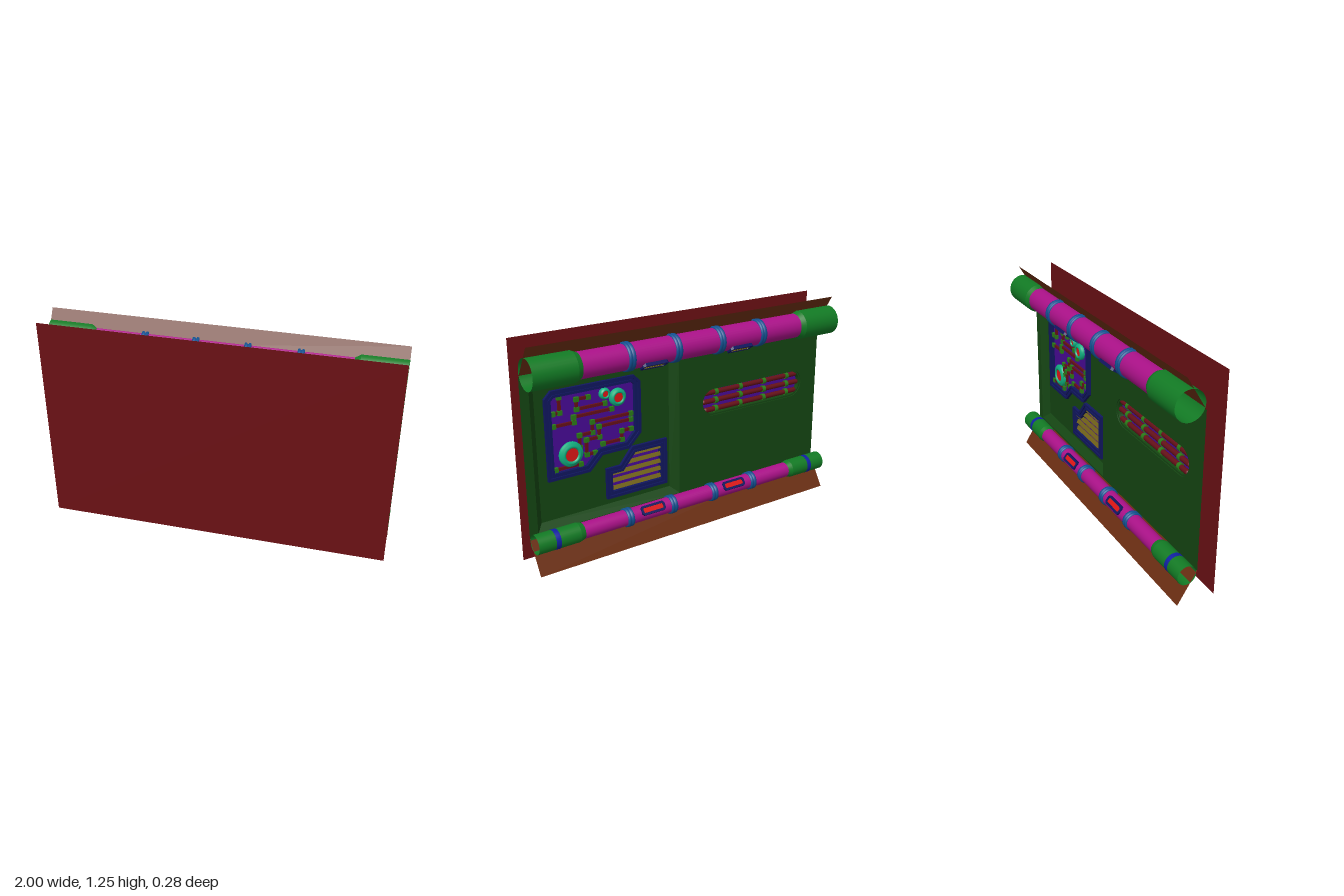
import * as THREE from 'three';

const mat = (color) => new THREE.MeshStandardMaterial({ color, side: THREE.DoubleSide });
const M = {
  back: mat(0x6a1014), flange: mat(0x6b2e12), wall: mat(0x144512), cap: mat(0x127a24),
  pipe: mat(0xaa1188), ring: mat(0x105090), frame: mat(0x10165f), band: mat(0x1020a0),
  purple: mat(0x480a95), trace: mat(0x651018), joint: mat(0x2a7a18), slat: mat(0x75661a),
  red: mat(0xdd1515), teal: mat(0x10b080),
};

export function createModel() {
  const model = new THREE.Group();

  const add = (name, geo, material, parent = model, x = 0, y = 0, z = 0) => {
    const m = new THREE.Mesh(geo, material);
    m.name = name;
    m.position.set(x, y, z);
    parent.add(m);
    return m;
  };
  const box = (name, w, h, d, material, parent, x, y, z) =>
    add(name, new THREE.BoxGeometry(w, h, d), material, parent, x, y, z);
  const vecs = (pts) => pts.map(([x, y]) => new THREE.Vector2(x, y));
  const rect = (x0, y0, x1, y1) => [[x0, y0], [x1, y0], [x1, y1], [x0, y1]];

  // Flat outline with holes
  const outline = (pts, holes = []) => {
    const s = new THREE.Shape(vecs(pts));
    holes.forEach((h) => s.holes.push(new THREE.Path(vecs(h))));
    return s;
  };
  const sheet = (name, pts, holes, material, z) =>
    add(name, new THREE.ShapeGeometry(outline(pts, holes)), material, model, 0, 0, z);
  const plate = (name, pts, holes, z0, z1, material, parent = model) =>
    add(name, new THREE.ExtrudeGeometry(outline(pts, holes), { depth: z1 - z0, bevelEnabled: false }),
      material, parent, 0, 0, z0);

  // Moves every edge of a counter-clockwise outline inwards by d
  const inset = (pts, d) => pts.map((p, i) => {
    const n = pts.length, a = pts[(i + n - 1) % n], b = pts[(i + 1) % n];
    const u = new THREE.Vector2(p[0] - a[0], p[1] - a[1]).normalize();
    const v = new THREE.Vector2(b[0] - p[0], b[1] - p[1]).normalize();
    const k = d / (1 + u.dot(v));
    return [p[0] - (u.y + v.y) * k, p[1] + (u.x + v.x) * k];
  });

  // Side walls between two outlines at different depths
  const loft = (name, a, za, b, zb, material) => {
    const pos = [];
    a.forEach((p, i) => {
      const j = (i + 1) % a.length;
      const A = [...p, za], B = [...a[j], za], C = [...b[j], zb], D = [...b[i], zb];
      pos.push(...A, ...B, ...C, ...A, ...C, ...D);
    });
    const g = new THREE.BufferGeometry();
    g.setAttribute('position', new THREE.Float32BufferAttribute(pos, 3));
    g.computeVertexNormals();
    return add(name, g, material);
  };

  // Backing plate and wall outlines
  sheet('backPlate', rect(-1, 0, 1, 1.25), [], M.back, 0.14);
  const opening = rect(0.04, 0.19, 0.95, 1.06);
  const floor = rect(0.085, 0.23, 0.91, 1.02);
  const board = [[0.28, 0.62], [0.36, 0.54], [0.53, 0.54], [0.61, 0.46], [0.86, 0.46],
    [0.86, 0.92], [0.82, 0.96], [0.32, 0.96], [0.28, 0.92]];
  const vent = [[0.11, 0.265], [0.51, 0.265], [0.51, 0.45], [0.42, 0.45], [0.34, 0.545], [0.11, 0.545]];
  const slot = [];
  for (let i = 0; i <= 24; i++) {
    const t = -Math.PI / 2 + (Math.PI * (i > 12 ? i - 1 : i)) / 23;
    slot.push([-0.205 + 0.085 * Math.cos(t), 0.71 + 0.085 * Math.sin(t)]);
  }
  slot.push(...slot.map(([x, y]) => [-1 - x, 1.42 - y]));

  // Wall, sloped recess and its floor
  sheet('wall', rect(-1, 0.18, 1, 1.07), [opening, slot], M.wall, 0.03);
  loft('recessSides', opening, 0.03, floor, 0.07, M.wall);
  sheet('recessFloor', floor, [inset(board, 0.02), inset(vent, 0.02)], M.wall, 0.07);

  // Flared sheets along the top and bottom
  [[1.07, 1.25, 'topFlange'], [0.18, 0, 'bottomFlange']].forEach(([y0, y1, name]) => {
    const g = new THREE.PlaneGeometry(2, 1);
    const p = g.attributes.position;
    for (let i = 0; i < 4; i++) {
      const outer = p.getY(i) > 0;
      p.setXYZ(i, p.getX(i), outer ? y1 : y0, outer ? -0.08 : 0.03);
    }
    g.computeVertexNormals();
    add(name, g, M.flange);
  });

  // Stepped frames around the circuit board and the vent
  [[board, 0.075, 'board'], [vent, 0.09, 'vent']].forEach(([pts, zb, name]) => {
    plate(name + 'FrameOuter', pts, [inset(pts, 0.016)], 0.052, zb, M.frame);
    plate(name + 'FrameStep', inset(pts, 0.016), [inset(pts, 0.024)], 0.06, zb, M.frame);
    plate(name + 'FrameInner', inset(pts, 0.024), [inset(pts, 0.038)], 0.054, zb, M.frame);
    sheet(name + 'Backing', inset(pts, 0.03), [], M.purple, zb - 0.001);
  });

  // Vent slats
  for (let i = 0; i < 5; i++) {
    const y = 0.318 + i * 0.045, x1 = y < 0.41 ? 0.475 : y < 0.46 ? 0.38 : 0.34;
    const s = box('ventSlat', x1 - 0.145, 0.024, 0.012, M.slat, model, (x1 + 0.145) / 2, y, 0.072);
    s.rotation.x = 0.4;
  }

  // Circuit traces with a joint at each bend
  [
    [[0.77, 0.915], [0.77, 0.83], [0.81, 0.83]],
    [[0.50, 0.83], [0.67, 0.83], [0.67, 0.885], [0.60, 0.885]],
    [[0.46, 0.79], [0.69, 0.79], [0.69, 0.76], [0.81, 0.76]],
    [[0.34, 0.74], [0.58, 0.74], [0.58, 0.68], [0.66, 0.68], [0.66, 0.61]],
    [[0.34, 0.705], [0.54, 0.705], [0.54, 0.645], [0.62, 0.645], [0.62, 0.56], [0.57, 0.56]],
    [[0.34, 0.65], [0.40, 0.65], [0.40, 0.60], [0.52, 0.60]],
    [[0.81, 0.515], [0.66, 0.515]],
  ].forEach((path) => path.forEach(([x, y], i) => {
    box('traceJoint', 0.026, 0.026, 0.018, M.joint, model, x, y, 0.066);
    if (!i) return;
    const [px, py] = path[i - 1];
    box('trace', Math.abs(x - px) + 0.016, Math.abs(y - py) + 0.016, 0.012, M.trace,
      model, (x + px) / 2, (y + py) / 2, 0.068);
  }));

  // Round dials on the board
  [[0.715, 0.585, 0.07], [0.42, 0.85, 0.05], [0.50, 0.885, 0.032]].forEach(([x, y, r]) => {
    const ring = [[0.55, 0.015], [0.55, 0.024], [0.7, 0.028], [0.76, 0.022], [0.88, 0.022], [1, 0.014], [1, 0]]
      .map(([k, h]) => new THREE.Vector2(k * r, h));
    add('dialRing', new THREE.LatheGeometry(ring, 32), M.teal, model, x, y, 0.074).rotation.x = -Math.PI / 2;
    add('dialCentre', new THREE.CylinderGeometry(r * 0.56, r * 0.56, 0.018, 32), M.red, model, x, y, 0.065)
      .rotation.x = Math.PI / 2;
  });

  // Rounded slot with conduits and beads
  loft('slotSides', slot, 0.03, slot, 0.066, M.wall);
  plate('slotRim', slot, [inset(slot, 0.01)], 0.036, 0.066, M.wall);
  sheet('slotBacking', slot, [], M.purple, 0.065);
  [-0.052, 0, 0.052].forEach((dy) => {
    const half = dy ? 0.355 : 0.37;
    add('conduit', new THREE.CapsuleGeometry(0.015, 2 * half - 0.03, 4, 12), M.trace, model, -0.5, 0.71 + dy, 0.05)
      .rotation.z = Math.PI / 2;
    for (let i = 0; i < 4; i++) {
      add('conduitBead', new THREE.CylinderGeometry(0.02, 0.02, 0.022, 12), M.joint, model,
        -0.23 - i * 0.18, 0.71 + dy, 0.05).rotation.z = Math.PI / 2;
    }
  });

  // Turned part along x, from [radius, x] points
  const turned = (name, pts, material, parent, x = 0) => {
    const m = add(name, new THREE.LatheGeometry(vecs(pts), 32), material, parent, x);
    m.rotation.z = -Math.PI / 2;
    return m;
  };

  // Long pipe with end sleeves, clamp rings and two clip-on windows
  const makePipe = (name, y, z, r, R, clip) => {
    const g = new THREE.Group();
    g.name = name;
    g.position.set(0, y, z);
    model.add(g);
    turned('tube', [[r, -0.73], [r, 0.73]], M.pipe, g);
    [1, -1].forEach((s) => {
      turned('endTaper', [[r, s * 0.72], [R, s * 0.75]], M.cap, g);
      turned('endSleeve', [[R, s * 0.75], [R, s * 1]], M.cap, g);
      if (clip.screen) turned('endBand', [[R, -0.014], [R + 0.001, -0.014], [R + 0.001, 0.014], [R, 0.014]], M.band, g, s * 0.885);
      [0.145, 0.435].forEach((x) => turned('clampRing', [[r, -0.02], [r + 0.008, -0.018], [r + 0.009, -0.006],
        [r + 0.004, -0.003], [r + 0.004, 0.003], [r + 0.009, 0.006], [r + 0.008, 0.018], [r, 0.02]], M.ring, g, s * x));
      const c = new THREE.Group();
      c.name = 'clip';
      c.position.x = s * 0.287;
      c.rotation.x = Math.atan2(-clip.ny, clip.nz);
      g.add(c);
      const h = clip.half, k = 0.012, w = 0.078;
      const edge = [[-w + k, -h], [w - k, -h], [w, -h + k], [w, h - k], [w - k, h], [-w + k, h], [-w, h - k], [-w, -h + k]];
      plate('clipFrame', edge, [inset(edge, 0.013)], clip.r0, clip.r1, M.frame, c);
      plate('clipWindow', inset(edge, 0.012), [], clip.r0, clip.r1 - 0.004, clip.screen ? M.red : M.frame, c);
      if (!clip.screen) [-0.011, 0, 0.011].forEach((dy) =>
        box('clipSlat', 0.11, 0.006, 0.004, M.slat, c, 0, dy, clip.r1 - 0.003));
    });
  };
  makePipe('topPipe', 1.108, -0.059, 0.071, 0.084, { ny: -0.83, nz: -0.56, r0: 0.033, r1: 0.081, half: 0.032 });
  makePipe('bottomPipe', 0.169, -0.03, 0.046, 0.055, { ny: 0.61, nz: -0.79, r0: 0.029, r1: 0.053, half: 0.027, screen: true });

  return model;
}
